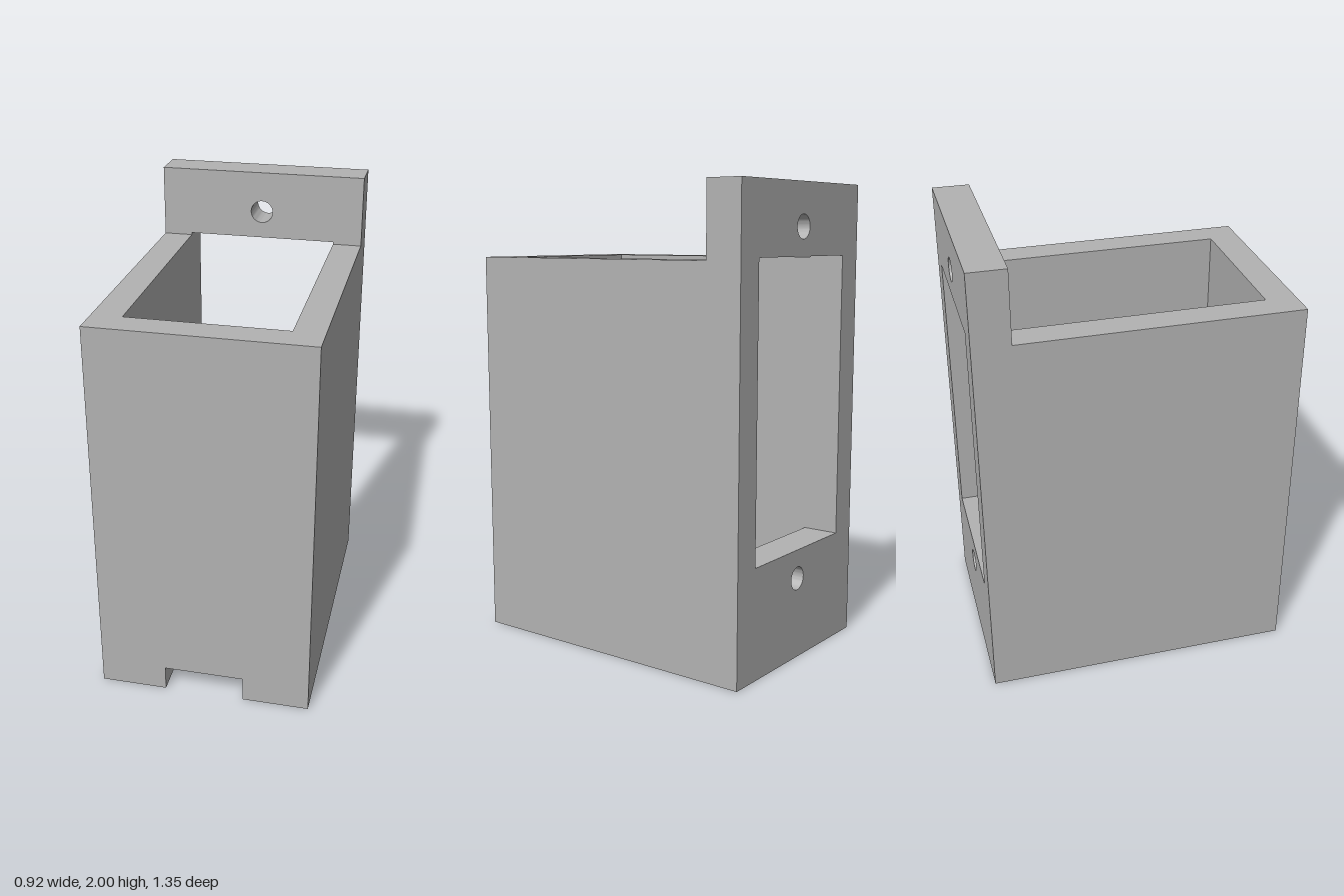
import * as THREE from 'three';
import { toCreasedNormals } from 'three/addons/utils/BufferGeometryUtils.js';

const W = 0.46, FRONT = 0.675, BACK = -0.675, PLATE = -0.517;
const IN = 0.333, IN_FRONT = 0.545;
const FLOOR = 0.2, SLOT_H = 0.11, RIM = 1.69, TOP = 2;
const BORE = 0.218, SLOT = 0.173, POCKET = 0.212, P0 = 0.173, P1 = 0.495;

// points [x, z] along an arc, angles measured from +x towards +z
function arc(cx, cz, r, a0, a1, n) {
  const pts = [];
  for (let i = 0; i <= n; i++) {
    const a = a0 + (a1 - a0) * i / n;
    pts.push([cx + r * Math.cos(a), cz + r * Math.sin(a)]);
  }
  return pts;
}

// plan outlines in [x, z]
const plan = (pts, Type = THREE.Shape) => new Type(pts.map(([x, z]) => new THREE.Vector2(x, -z)));

function extrude(shape, depth) {
  return new THREE.ExtrudeGeometry(shape, { depth, bevelEnabled: false, curveSegments: 24 });
}

// extrude a plan outline upwards from y0 to y1
function slab(shape, y0, y1) {
  return extrude(shape, y1 - y0).rotateX(-Math.PI / 2).translate(0, y0, 0);
}

export function createModel() {
  const group = new THREE.Group();
  const grey = new THREE.MeshStandardMaterial({ color: 0xb2b2b2 });
  grey.name = 'grey';
  const add = (name, geometry) => {
    const mesh = new THREE.Mesh(toCreasedNormals(geometry, 0.5), grey);
    mesh.name = name;
    group.add(mesh);
  };

  // lower floor: bore and pocket joined by a slot open to the front
  const a = Math.acos(SLOT / BORE);
  add('lowerFloor', slab(plan([
    [-W, FRONT], [-SLOT, FRONT], [-SLOT, P1], [-POCKET, P1], [-POCKET, P0], [-SLOT, P0],
    ...arc(0, 0, BORE, Math.PI - a, Math.PI * 2 + a, 48),
    [SLOT, P0], [POCKET, P0], [POCKET, P1], [SLOT, P1], [SLOT, FRONT],
    [W, FRONT], [W, PLATE], [-W, PLATE],
  ]), 0, SLOT_H));

  // upper floor: closed keyhole with a small round groove at its front
  const k = Math.asin(P0 / BORE);
  const upper = plan([[-W, FRONT], [W, FRONT], [W, PLATE], [-W, PLATE]]);
  upper.holes.push(plan([
    ...arc(0, 0, BORE, Math.PI - k, Math.PI * 2 + k, 48),
    [POCKET, P0], [POCKET, P1],
    ...arc(0, 0.48, 0.037, 0.42, Math.PI - 0.42, 12),
    [-POCKET, P1], [-POCKET, P0],
  ], THREE.Path));
  add('upperFloor', slab(upper, SLOT_H, FLOOR));

  // side and front walls around the cavity
  add('walls', slab(plan([
    [-W, PLATE], [-W, FRONT], [W, FRONT], [W, PLATE],
    [IN, PLATE], [IN, IN_FRONT], [-IN, IN_FRONT], [-IN, PLATE],
  ]), FLOOR, RIM));

  // back plate with a window and two screw holes
  const rect = (Type, x, y0, y1) => new Type([[-x, y0], [x, y0], [x, y1], [-x, y1]]
    .map(([px, py]) => new THREE.Vector2(px, py)));
  const plate = rect(THREE.Shape, W, 0, TOP);
  plate.holes.push(rect(THREE.Path, IN, 0.475, 1.7));
  for (const y of [0.35, 1.82]) {
    plate.holes.push(new THREE.Path().absarc(0, y, 0.05, 0, Math.PI * 2, true));
  }
  add('backPlate', extrude(plate, PLATE - BACK).translate(0, 0, BACK));

  return group;
}
